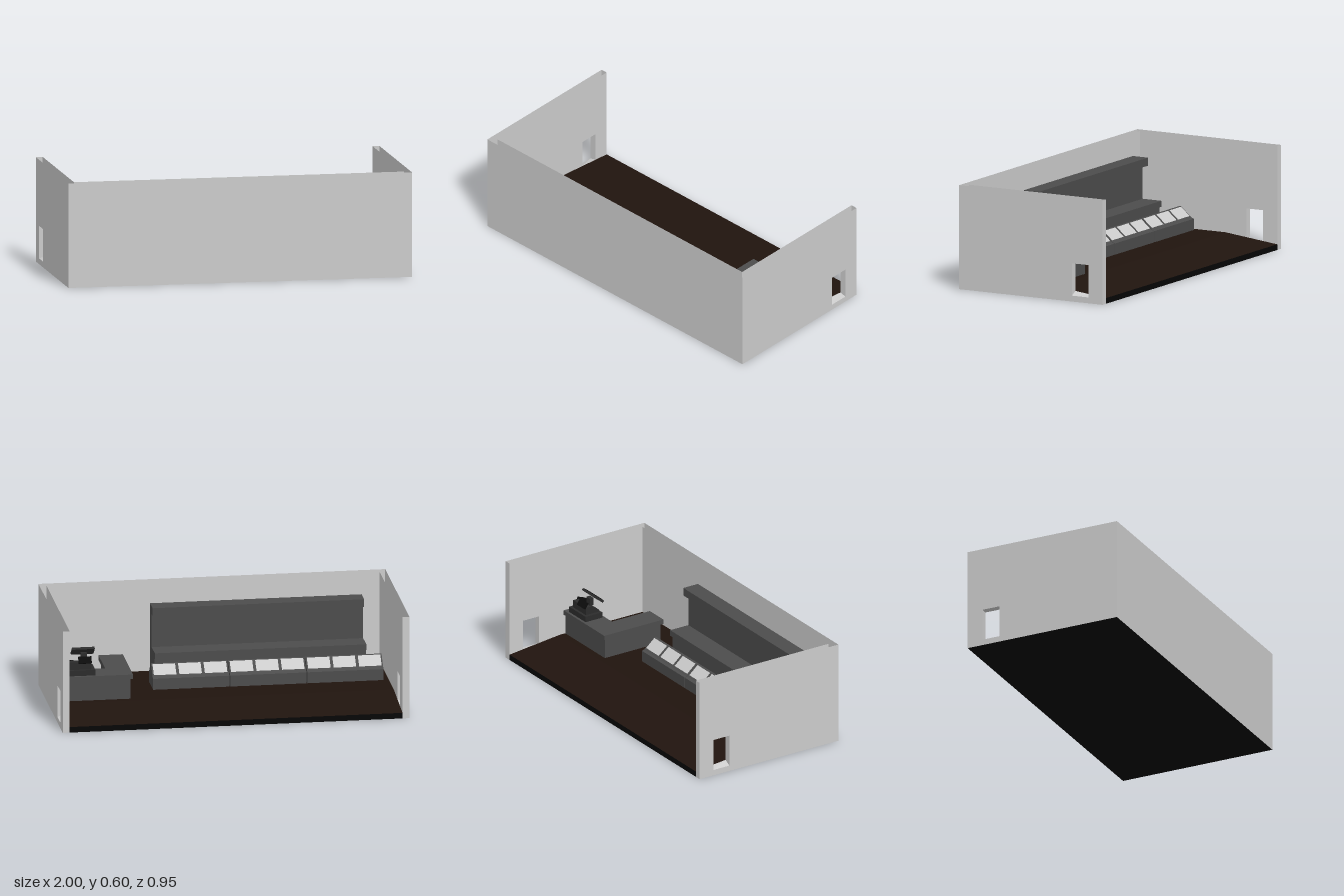
import * as THREE from 'three';

const mat = (color, side = THREE.FrontSide) => new THREE.MeshStandardMaterial({ color, side });
const wallMat = mat(0xcccccc, THREE.DoubleSide);
const blackMat = mat(0x060606, THREE.DoubleSide);
const floorMat = mat(0x20140e, THREE.DoubleSide);
const greyMat = mat(0x4c4c4c);
const darkMat = mat(0x2c2c2c);
const screenMat = mat(0x0c0c0c);

const H = 0.604, D = 0.475, T = 0.04, IN = 1 - T;
const WIN = { z0: -0.382, z1: -0.272, y0: 0.034, y1: 0.222 };
const FLOOR = 0.07;
// floor height: a gentle ramp at the open side, then level
const floorY = (z) => Math.min(FLOOR, 0.033 + (z + D) * 0.108);

function add(group, name, geometry, material) {
  const m = new THREE.Mesh(geometry, material);
  m.name = name;
  group.add(m);
  return m;
}

function box(group, name, x0, x1, y0, y1, z0, z1, material) {
  const m = add(group, name, new THREE.BoxGeometry(x1 - x0, y1 - y0, z1 - z0), material);
  m.position.set((x0 + x1) / 2, (y0 + y1) / 2, (z0 + z1) / 2);
  return m;
}

// four corners, counter-clockwise seen from the front
function quad(a, b, c, d) {
  const g = new THREE.BufferGeometry();
  g.setAttribute('position', new THREE.Float32BufferAttribute([a, b, c, a, c, d].flat(), 3));
  g.computeVertexNormals();
  return g;
}

const shapeOf = (pts) => new THREE.Shape(pts.map((p) => new THREE.Vector2(...p)));

// (z, y) profile swept along x
function sweepX(pts, x0, x1) {
  const g = new THREE.ExtrudeGeometry(shapeOf(pts), { depth: x1 - x0, bevelEnabled: false });
  return g.rotateY(-Math.PI / 2).translate(x1, 0, 0);
}

// upright sheet at a given x with a window hole
function sideSheet(x, zEnd, sillA, sillB) {
  const s = shapeOf([[-D, 0], [zEnd, 0], [zEnd, H], [-D, H]]);
  s.holes.push(new THREE.Path([[WIN.z0, sillA], [WIN.z0, WIN.y1], [WIN.z1, WIN.y1], [WIN.z1, sillB]]
    .map((p) => new THREE.Vector2(...p))));
  return new THREE.ShapeGeometry(s).rotateY(-Math.PI / 2).translate(x, 0, 0);
}

function buildWalls() {
  const g = new THREE.Group();
  g.name = 'walls';
  // hollow front wall, open along its top
  add(g, 'frontWallOuter', quad([-1, 0, D], [1, 0, D], [1, H, D], [-1, H, D]), wallMat);
  add(g, 'frontWallInner', quad([IN, 0, D - T], [-IN, 0, D - T], [-IN, H, D - T], [IN, H, D - T]), wallMat);
  for (const s of [1, -1]) {
    const side = s > 0 ? 'left' : 'right';
    const { z0, z1, y0, y1 } = WIN;
    const a = floorY(z0), b = floorY(z1), o = s, i = s * IN;
    add(g, side + 'WallOuter', sideSheet(o, D, y0, y0), wallMat);
    add(g, side + 'WallInner', sideSheet(i, D - T, a, b), wallMat);
    add(g, side + 'WallEnd', quad([o, 0, -D], [i, 0, -D], [i, H, -D], [o, H, -D]), wallMat);
    // window lining with a sloping sill
    const outer = [[o, y0, z0], [o, y0, z1], [o, y1, z1], [o, y1, z0]];
    const inner = [[i, a, z0], [i, b, z1], [i, y1, z1], [i, y1, z0]];
    ['Sill', 'JambFront', 'Lintel', 'JambBack'].forEach((n, k) => {
      const j = (k + 1) % 4;
      const c = [outer[k], outer[j], inner[j], inner[k]];
      add(g, side + 'Window' + n, quad(...(s > 0 ? c.reverse() : c)), wallMat);
    });
  }
  return g;
}

function buildFloor() {
  const g = new THREE.Group();
  g.name = 'floor';
  const zr = -D + (FLOOR - 0.033) / 0.108, f = D - T;
  add(g, 'groundPlate', quad([-1, 0, -D], [1, 0, -D], [1, 0, D], [-1, 0, D]), blackMat);
  add(g, 'backEdge', quad([IN, 0, -D], [-IN, 0, -D], [-IN, 0.033, -D], [IN, 0.033, -D]), blackMat);
  add(g, 'ramp', quad([-IN, FLOOR, zr], [IN, FLOOR, zr], [IN, 0.033, -D], [-IN, 0.033, -D]), floorMat);
  add(g, 'levelFloor', quad([-IN, FLOOR, f], [IN, FLOOR, f], [IN, FLOOR, zr], [-IN, FLOOR, zr]), floorMat);
  return g;
}

// one display case with three sloping panes
function buildCase(x0, x1) {
  const g = new THREE.Group();
  g.name = 'displayCase';
  const profile = [[0.06, 0.07], [0.215, 0.07], [0.215, 0.14], [0.155, 0.2], [0.145, 0.2], [0.075, 0.14], [0.06, 0.135]];
  add(g, 'caseBody', sweepX(profile, x0, x1), greyMat);
  const y = (z) => 0.143 + (z - 0.075) * 0.857;
  const mid = (x0 + x1) / 2;
  for (const k of [-1, 0, 1]) {
    const l = mid + k * 0.147 - 0.065, r = l + 0.13, n = 0.083, f = 0.14;
    add(g, 'pane', quad([l, y(f), f], [r, y(f), f], [r, y(n), n], [l, y(n), n]), wallMat);
  }
  return g;
}

function buildShelf() {
  const g = new THREE.Group();
  g.name = 'wallShelf';
  const x0 = -0.855, x1 = 0.365;
  box(g, 'shelfBase', x0, x1, FLOOR, 0.2, 0.245, 0.42, greyMat);
  box(g, 'shelfTop', x0, x1, 0.2, 0.235, 0.23, 0.42, greyMat);
  box(g, 'backPanel', x0, x1, 0.235, 0.43, 0.355, 0.42, greyMat);
  box(g, 'canopy', x0, x1, 0.43, 0.477, 0.32, 0.42, greyMat);
  return g;
}

function buildCounter() {
  const g = new THREE.Group();
  g.name = 'counter';
  // L-shaped outline in plan, (x, z)
  const slab = (name, e, y0, y1) => {
    const s = shapeOf([[0.54 + e, -0.105 + e], [0.98, -0.105 + e], [0.98, 0.04 - e],
      [0.68 - e, 0.04 - e], [0.68 - e, 0.3 - e], [0.54 + e, 0.3 - e]]);
    const geo = new THREE.ExtrudeGeometry(s, { depth: y1 - y0, bevelEnabled: false });
    add(g, name, geo.rotateX(Math.PI / 2).translate(0, y1, 0), greyMat);
  };
  slab('counterBase', 0.012, FLOOR, 0.19);
  slab('counterTop', 0, 0.19, 0.217);
  return g;
}

function buildRegister() {
  const g = new THREE.Group();
  g.name = 'cashRegister';
  box(g, 'cashDrawer', 0.755, 0.925, 0.217, 0.25, -0.09, 0.025, darkMat);
  // sloping body on the drawer
  add(g, 'body', sweepX([[-0.075, 0.25], [0.015, 0.25], [0.015, 0.262], [-0.04, 0.295], [-0.075, 0.295]], 0.775, 0.905), darkMat);
  box(g, 'neck', 0.795, 0.83, 0.29, 0.335, -0.035, -0.01, darkMat);
  const screen = new THREE.Group();
  screen.name = 'screen';
  box(screen, 'screenCase', -0.065, 0.065, -0.037, 0.037, -0.007, 0.007, darkMat);
  box(screen, 'screenFace', -0.057, 0.057, -0.03, 0.03, 0.006, 0.009, screenMat);
  screen.position.set(0.815, 0.34, 0);
  screen.rotation.x = -0.9;
  g.add(screen);
  const display = box(g, 'customerDisplay', 0.775, 0.85, 0.285, 0.325, -0.078, -0.066, screenMat);
  display.rotation.x = 0.6;
  const reader = box(g, 'cardReader', 0.872, 0.928, 0.27, 0.288, -0.035, 0.02, screenMat);
  reader.rotation.x = 0.35;
  return g;
}

export function createModel() {
  const model = new THREE.Group();
  model.name = 'shopRoom';
  model.add(buildWalls(), buildFloor(), buildShelf(), buildCounter(), buildRegister());
  for (let k = 0; k < 3; k++) {
    const x0 = -0.93 + k * 0.445;
    model.add(buildCase(x0, x0 + 0.44));
  }
  return model;
}
